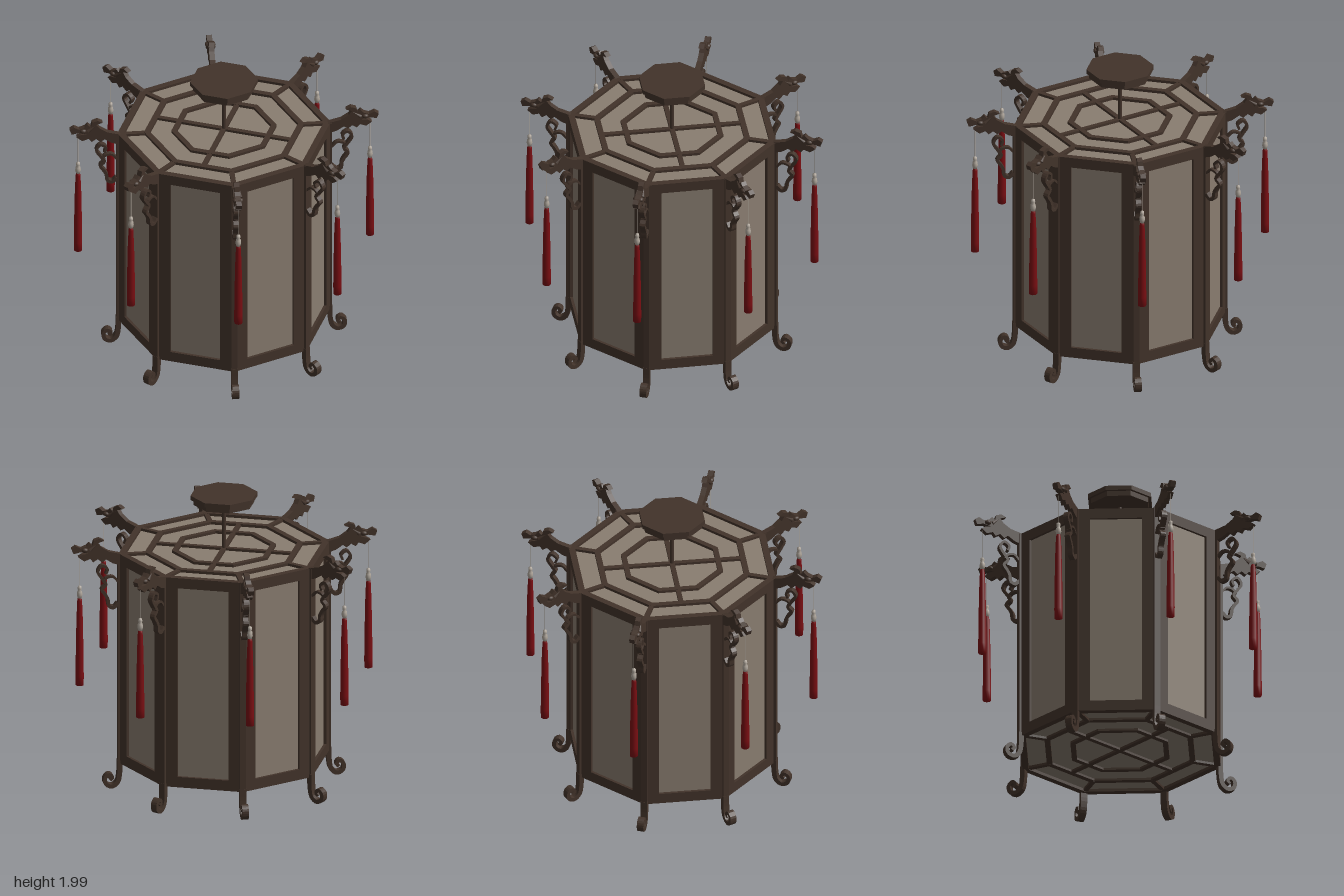
import * as THREE from 'three';

const mat = (name, color) => {
  const m = new THREE.MeshStandardMaterial({ color });
  m.name = name;
  return m;
};
const wood = mat('dark wood', 0x42332a);
const paper = mat('paper panel', 0x897d70);
const red = mat('red silk', 0x7a0e12);
const bone = mat('bone bead', 0xb0a79c);

const STEP = Math.PI / 4;
const R = 0.7, BOTTOM = 0.18, TOP = 1.63;
const APOTHEM = R * Math.cos(STEP / 2);
const SIDE = 2 * R * Math.sin(STEP / 2);

function add(parent, name, geo, material, x = 0, y = 0, z = 0) {
  const m = new THREE.Mesh(geo, material);
  m.name = name;
  m.position.set(x, y, z);
  parent.add(m);
  return m;
}

function spoke(parent, name, angle) {
  const g = new THREE.Group();
  g.name = name;
  g.rotation.y = -angle;
  parent.add(g);
  return g;
}

const octagon = (r, Type = THREE.Shape) =>
  new Type(Array.from({ length: 8 }, (_, i) => new THREE.Vector2(Math.cos(i * STEP) * r, Math.sin(i * STEP) * r)));

// Horizontal eight-sided slab, or ring when an inner radius is given; its top lies at y = 0
function slab(r, depth, inner = 0) {
  const s = octagon(r);
  if (inner) s.holes.push(octagon(inner, THREE.Path));
  return new THREE.ExtrudeGeometry(s, { depth, bevelEnabled: false }).rotateX(Math.PI / 2);
}

// Upright cut-out in the radial plane, centred on its thickness
function cutout(shape, depth) {
  return new THREE.ExtrudeGeometry(shape, { depth, bevelEnabled: false }).translate(0, 0, -depth / 2);
}

// Carved scroll: a flat strip that follows a curve and tapers to w1
function scroll(points, w0, w1, depth, n = 28) {
  const curve = new THREE.CatmullRomCurve3(points.map(([x, y]) => new THREE.Vector3(x, y, 0)));
  const a = [], b = [];
  for (let i = 0; i <= n; i++) {
    const p = curve.getPoint(i / n), t = curve.getTangent(i / n);
    const h = THREE.MathUtils.lerp(w0, w1, i / n) / 2;
    a.push(new THREE.Vector2(p.x - t.y * h, p.y + t.x * h));
    b.unshift(new THREE.Vector2(p.x + t.y * h, p.y - t.x * h));
  }
  return cutout(new THREE.Shape([...a, ...b]), depth);
}

// Lattice of rings and bars over a paper sheet; used on the roof and floor
function lattice(parent, name, y, sheetY) {
  const g = new THREE.Group();
  g.name = name;
  g.position.y = y;
  parent.add(g);
  add(g, 'sheet', slab(0.67, 0.008), paper, 0, sheetY, 0);
  add(g, 'outerRing', slab(R, 0.04, 0.655), wood);
  add(g, 'middleRing', slab(0.525, 0.035, 0.485), wood);
  add(g, 'innerRing', slab(0.345, 0.035, 0.308), wood);
  for (let i = 0; i < 8; i++) {
    add(spoke(g, 'outerSpoke', i * STEP), 'bar', new THREE.BoxGeometry(0.18, 0.035, 0.032), wood, 0.59, -0.0185, 0);
  }
  for (const a of [1.5, 3.5]) {
    add(spoke(g, 'crossBar', a * STEP), 'bar', new THREE.BoxGeometry(0.95, 0.034, 0.032), wood, 0, -0.0185, 0);
  }
}

// Wall: wooden frame around a recessed paper panel
function wall(parent, angle) {
  const g = spoke(parent, 'wall', angle);
  const h = TOP - BOTTOM, w = SIDE / 2 - 0.008;
  const s = new THREE.Shape([[-w, 0], [w, 0], [w, h], [-w, h]].map(p => new THREE.Vector2(...p)));
  s.holes.push(new THREE.Path([[-0.17, 0.07], [-0.17, h - 0.07], [0.17, h - 0.07], [0.17, 0.07]]
    .map(p => new THREE.Vector2(...p))));
  const frame = new THREE.ExtrudeGeometry(s, { depth: 0.03, bevelEnabled: false }).rotateY(Math.PI / 2);
  add(g, 'wallFrame', frame, wood, APOTHEM - 0.03, BOTTOM, 0);
  add(g, 'wallPanel', new THREE.BoxGeometry(0.008, h - 0.12, 0.36), paper, APOTHEM - 0.022, (TOP + BOTTOM) / 2, 0);
}

// Beast-head arm with crest, open jaw and snout
const headShape = new THREE.Shape([
  [0.68, 1.55], [0.74, 1.57], [0.785, 1.6], [0.81, 1.58], [0.84, 1.605], [0.87, 1.585], [0.89, 1.61],
  [0.93, 1.595], [0.968, 1.625], [0.94, 1.642], [0.9, 1.648], [0.955, 1.66], [1.0, 1.65], [1.013, 1.685],
  [0.985, 1.703], [0.95, 1.685], [0.915, 1.698], [0.895, 1.718], [0.875, 1.7], [0.865, 1.735],
  [0.83, 1.747], [0.797, 1.73], [0.838, 1.716], [0.815, 1.685], [0.765, 1.652], [0.68, 1.63],
].map(p => new THREE.Vector2(...p)));
const headGeo = cutout(headShape, 0.036);

const bracketGeo = scroll([
  [0.785, 1.495], [0.775, 1.53], [0.81, 1.555], [0.838, 1.515], [0.81, 1.465], [0.785, 1.425],
  [0.812, 1.39], [0.79, 1.355], [0.772, 1.32], [0.765, 1.275], [0.735, 1.262], [0.705, 1.29],
], 0.016, 0.024, 0.036, 44);
const budGeo = scroll([[0.705, 1.44], [0.74, 1.475], [0.785, 1.465], [0.8, 1.435]], 0.014, 0.016, 0.03, 12);

const footGeo = scroll([
  [0.692, 0.2], [0.695, 0.11], [0.708, 0.05], [0.745, 0.022], [0.785, 0.04], [0.79, 0.083],
  [0.763, 0.105], [0.742, 0.083], [0.758, 0.065],
], 0.034, 0.02, 0.044);

const lathe = (pts, n) => new THREE.LatheGeometry(pts.map(p => new THREE.Vector2(...p)), n);
const beadGeo = lathe([[0, 1.335], [0.013, 1.337], [0.019, 1.36], [0.016, 1.383], [0.01, 1.39],
  [0.014, 1.402], [0.012, 1.418], [0, 1.425]], 12);
const silkGeo = lathe([[0, 0.735], [0.027, 0.735], [0.0275, 0.8], [0.025, 1.0], [0.021, 1.2],
  [0.016, 1.32], [0.011, 1.345], [0, 1.347]], 12);

// Everything standing on one corner
function corner(parent, angle) {
  const g = spoke(parent, 'corner', angle);
  add(g, 'post', new THREE.BoxGeometry(0.04, TOP - BOTTOM, 0.04), wood, 0.687, (TOP + BOTTOM) / 2, 0);
  add(g, 'headArm', headGeo, wood);
  add(g, 'scrollBracket', bracketGeo, wood);
  add(g, 'scrollBud', budGeo, wood);
  add(g, 'foot', footGeo, wood);
  for (const s of [-1, 1]) {
    const cheek = add(g, 'cheek', new THREE.SphereGeometry(0.02, 10, 8), wood, 0.925, 1.672, s * 0.017);
    cheek.scale.set(1.1, 0.8, 0.9);
    const ear = add(g, 'ear', new THREE.ConeGeometry(0.014, 0.06, 6), wood, 0.87, 1.69, s * 0.02);
    ear.rotation.z = 0.9;
  }
  // Hanging tassel
  const t = new THREE.Group();
  t.name = 'tassel';
  t.position.x = 0.957;
  g.add(t);
  add(t, 'thread', new THREE.CylinderGeometry(0.002, 0.002, 0.21, 5), bone, 0, 1.525, 0);
  add(t, 'bead', beadGeo, bone);
  add(t, 'silk', silkGeo, red);
}

export function createModel() {
  const model = new THREE.Group();
  model.name = 'lantern';
  const body = spoke(model, 'body', THREE.MathUtils.degToRad(-10.2));

  for (let i = 0; i < 8; i++) {
    wall(body, (i + 0.5) * STEP);
    corner(body, i * STEP);
  }
  lattice(body, 'roof', TOP, -0.018);
  lattice(body, 'floor', BOTTOM + 0.038, -0.012);

  // Hanging rod and ceiling plate
  add(body, 'rod', new THREE.CylinderGeometry(0.014, 0.014, 0.36, 12), wood, 0, 1.775, 0);
  add(body, 'ceilingPlate', slab(0.222, 0.03), wood, 0, 2.0, 0);
  add(body, 'ceilingPlateStep', slab(0.203, 0.036), wood, 0, 1.971, 0);
  return model;
}
